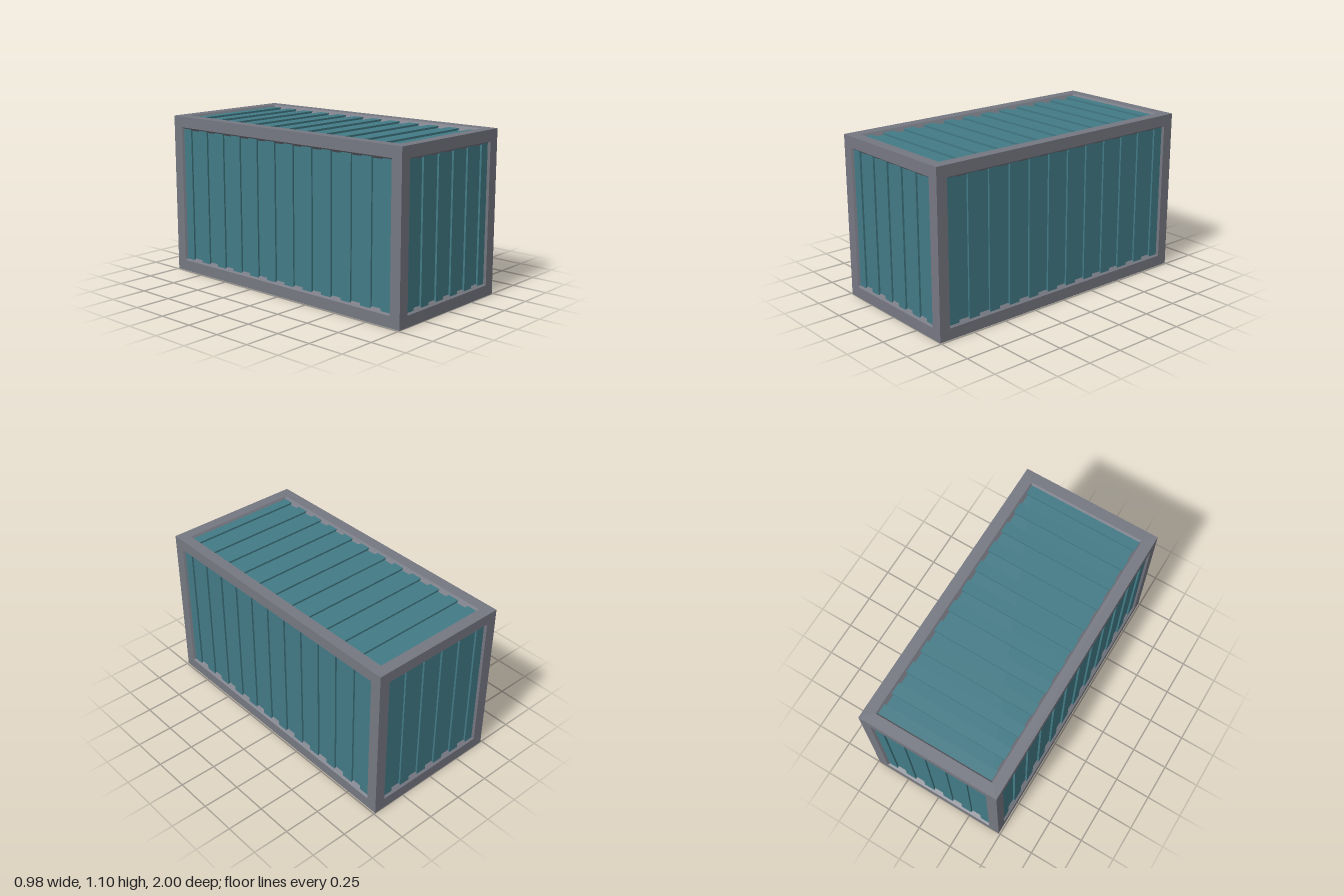
import * as THREE from 'three';

const W = 0.978, H = 1.098, L = 2;      // overall width, height, length
const BORDER = 0.075;                   // frame bar width
const DEPTH = 0.028, TAPER = 0.02;      // recess depth and slope
const RIB = DEPTH / 2;                  // rib height above the panel

const frameMat = new THREE.MeshStandardMaterial({ color: 0x767882, side: THREE.DoubleSide });
frameMat.name = 'frame grey';
const panelMat = new THREE.MeshStandardMaterial({ color: 0x427a86, side: THREE.DoubleSide });
panelMat.name = 'panel teal';

const corners = (w, h) => [[-w / 2, -h / 2], [w / 2, -h / 2], [w / 2, h / 2], [-w / 2, h / 2]];

function addMesh(group, name, geometry, material) {
  const mesh = new THREE.Mesh(geometry, material);
  mesh.name = name;
  group.add(mesh);
  return mesh;
}

// Sloped band joining the frame opening to the sunken panel
function lipGeometry(w, h) {
  const outer = corners(w, h).map(([x, y]) => [x, y, 0]);
  const inner = corners(w - 2 * TAPER, h - 2 * TAPER).map(([x, y]) => [x, y, -DEPTH]);
  const pos = [];
  for (let i = 0; i < 4; i++) {
    const j = (i + 1) % 4;
    pos.push(...outer[i], ...outer[j], ...inner[j], ...outer[i], ...inner[j], ...inner[i]);
  }
  const geometry = new THREE.BufferGeometry();
  geometry.setAttribute('position', new THREE.Float32BufferAttribute(pos, 3));
  geometry.computeVertexNormals();
  return geometry;
}

// One framed, ribbed wall facing local +z, with ribs stepping along local x
function createWall(name, w, h, ribs) {
  const wall = new THREE.Group();
  wall.name = name;
  const ow = w - 2 * BORDER, oh = h - 2 * BORDER;

  const points = (a, b) => corners(a, b).map(([x, y]) => new THREE.Vector2(x, y));
  const ring = new THREE.Shape(points(w, h));
  ring.holes.push(new THREE.Path(points(ow, oh)));
  addMesh(wall, 'frame', new THREE.ShapeGeometry(ring), frameMat);
  addMesh(wall, 'frameLip', lipGeometry(ow, oh), frameMat);

  const panel = new THREE.PlaneGeometry(ow - 2 * TAPER, oh - 2 * TAPER);
  addMesh(wall, 'panel', panel, panelMat).position.z = -DEPTH;

  // Raised ribs alternate with grooves of equal width
  const step = ow / (2 * ribs - 1);
  const ribGeometry = new THREE.BoxGeometry(step, oh, RIB - 0.001);
  for (let i = 0; i < ribs; i++) {
    const rib = addMesh(wall, 'rib', ribGeometry, panelMat);
    rib.position.set(-ow / 2 + step * (2 * i + 0.5), 0, -DEPTH + (RIB + 0.001) / 2);
  }
  return wall;
}

export function createModel() {
  const model = new THREE.Group();
  model.name = 'cargoContainer';

  // End walls and side walls
  for (const s of [1, -1]) {
    const end = createWall(s > 0 ? 'frontWall' : 'backWall', W, H, 6);
    end.position.set(0, H / 2, s * L / 2);
    end.rotation.y = s > 0 ? 0 : Math.PI;
    const side = createWall(s > 0 ? 'leftWall' : 'rightWall', L, H, 12);
    side.position.set(s * W / 2, H / 2, 0);
    side.rotation.y = s * Math.PI / 2;
    model.add(end, side);
  }

  // Roof, with its ribs running across the width; the underside is open
  const roof = createWall('roof', L, W, 12);
  roof.quaternion.setFromRotationMatrix(new THREE.Matrix4().makeBasis(
    new THREE.Vector3(0, 0, 1), new THREE.Vector3(1, 0, 0), new THREE.Vector3(0, 1, 0)));
  roof.position.y = H;
  model.add(roof);

  return model;
}
